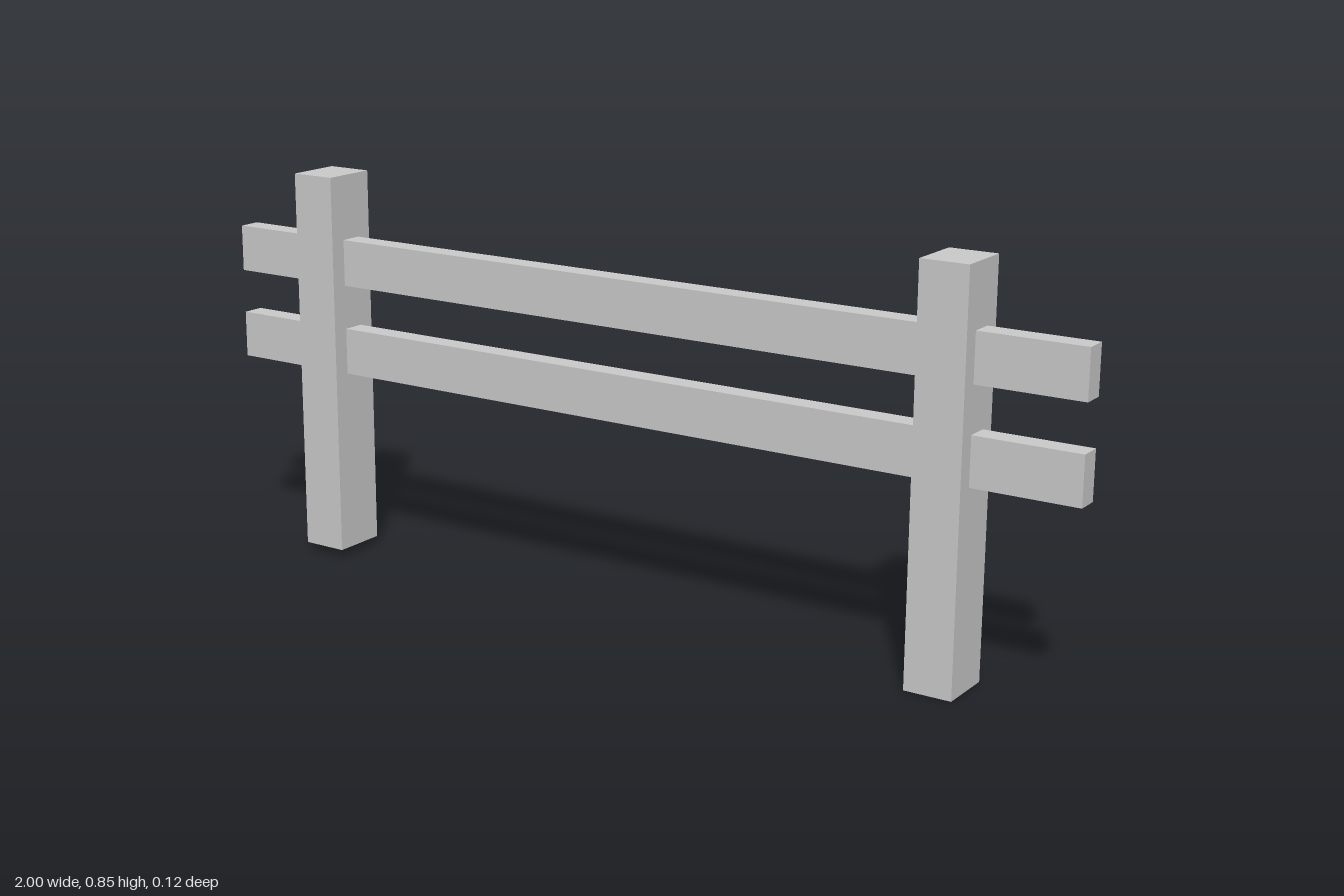
import * as THREE from 'three';

export function createModel() {
  const fence = new THREE.Group();
  fence.name = 'fence';
  const wood = new THREE.MeshStandardMaterial({ color: 0xcccccc, flatShading: true });
  const lean = -0.003; // the timbers sit very slightly off square

  function timber(name, size, x, y) {
    const mesh = new THREE.Mesh(new THREE.BoxGeometry(...size), wood);
    mesh.name = name;
    mesh.position.set(x, y, 0);
    mesh.rotation.z = lean;
    fence.add(mesh);
  }

  // Posts, one set a little higher than the other
  const postSize = [0.1, 0.829, 0.12];
  timber('rightPost', postSize, -0.756, 0.432);
  timber('leftPost', postSize, 0.729, 0.415);

  // Rails passing through both posts
  const railSize = [1.9995, 0.1, 0.048];
  timber('upperRail', railSize, 0, 0.655);
  timber('lowerRail', railSize, 0, 0.46);

  return fence;
}
